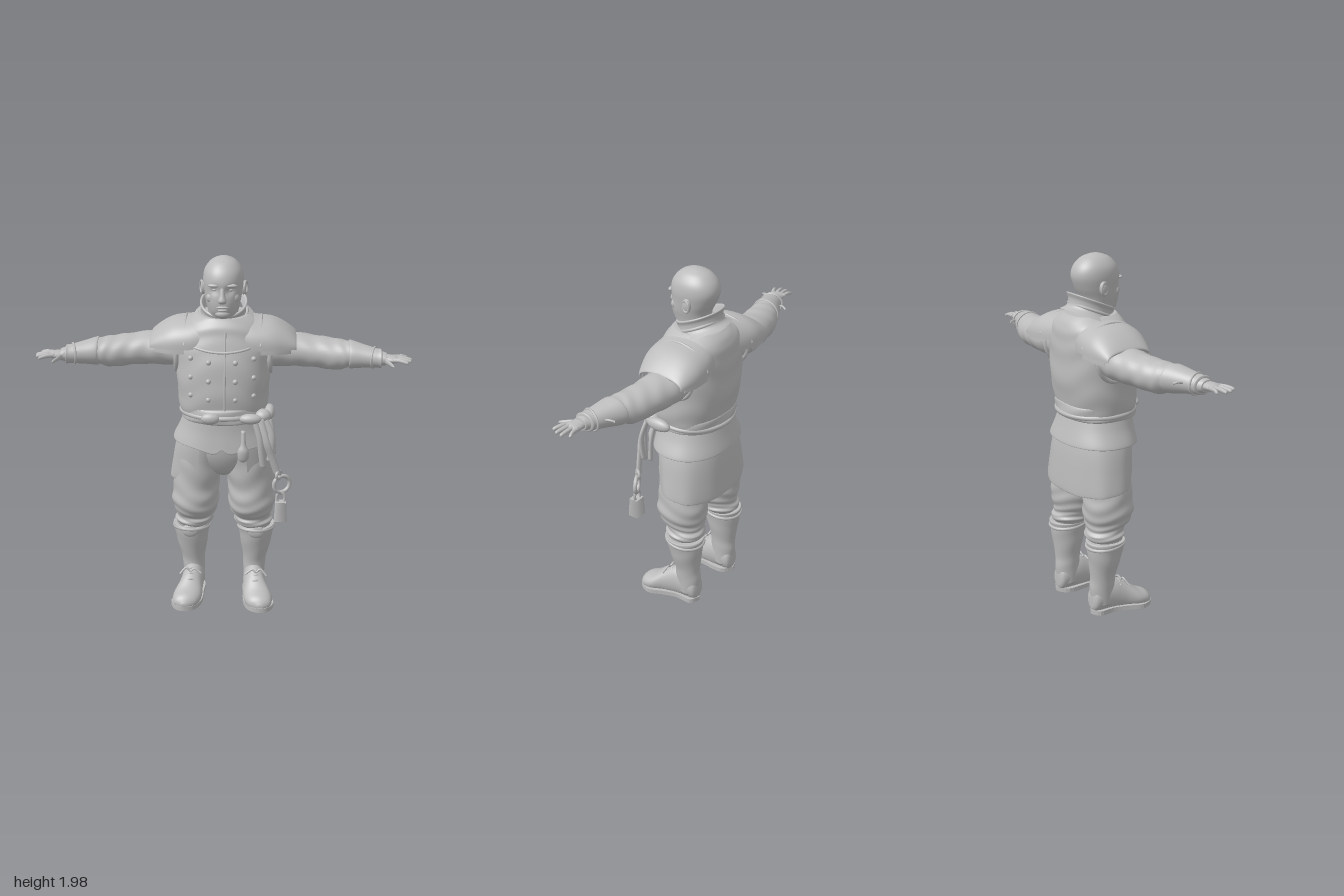
import * as THREE from 'three';

const grey = new THREE.MeshStandardMaterial({ color: 0xbcbcbc, side: THREE.DoubleSide });
grey.name = 'plain grey';

const catmull = (a, b, c, d, t) =>
  0.5 * (2 * b + (c - a) * t + (2 * a - 5 * b + 4 * c - d) * t * t + (3 * b - a - 3 * c + d) * t * t * t);

// Smooth skin through elliptical cross-sections [x, y, z, radiusU, radiusV] stacked along one axis
function loft(rows, { axis = 'y', n = 36, k = 6, p = 2, arc = null, swell = null, post = null, caps = true } = {}) {
  const pos = [], idx = [], all = [];
  const at = i => rows[Math.min(rows.length - 1, Math.max(0, i))];
  for (let i = 0; i < rows.length - 1; i++)
    for (let j = 0; j < k; j++)
      all.push(rows[0].map((_, c) => catmull(at(i - 1)[c], at(i)[c], at(i + 1)[c], at(i + 2)[c], j / k)));
  all.push(rows[rows.length - 1]);
  const [a0, a1] = arc || [0, Math.PI * 2], ring = arc ? n + 1 : n;
  const se = v => Math.sign(v) * Math.pow(Math.abs(v), 2 / p);
  const push = (x, y, z, t) => {
    const v = new THREE.Vector3(x, y, z);
    if (post) post(v, t);
    pos.push(v.x, v.y, v.z);
  };
  all.forEach(([x, y, z, a, b], r) => {
    const t = r / (all.length - 1);
    for (let i = 0; i < ring; i++) {
      const th = a0 + (a1 - a0) * i / n, s = swell ? swell(t, th) : 1;
      const u = Math.max(a, 0) * se(Math.cos(th)) * s, v = Math.max(b, 0) * se(Math.sin(th)) * s;
      if (axis === 'y') push(x + u, y, z + v, t);
      else if (axis === 'x') push(x, y + u, z + v, t);
      else push(x + u, y + v, z, t);
    }
  });
  const c = { x: 0, y: 1, z: 2 }[axis];
  const flip = (rows[rows.length - 1][c] - rows[0][c]) * (axis === 'y' ? -1 : 1) < 0;
  const tri = (a, b, d) => flip ? idx.push(a, d, b) : idx.push(a, b, d);
  for (let r = 0; r < all.length - 1; r++)
    for (let i = 0; i < n; i++) {
      const j = (i + 1) % ring, lo = r * ring, hi = lo + ring;
      tri(lo + i, lo + j, hi + i);
      tri(lo + j, hi + j, hi + i);
    }
  if (caps && !arc) {
    const last = (all.length - 1) * ring, base = pos.length / 3;
    push(...all[0].slice(0, 3), 0);
    push(...all[all.length - 1].slice(0, 3), 1);
    for (let i = 0; i < n; i++) {
      const j = (i + 1) % n;
      tri(base, j, i);
      tri(base + 1, last + i, last + j);
    }
  }
  const g = new THREE.BufferGeometry();
  g.setAttribute('position', new THREE.Float32BufferAttribute(pos, 3));
  g.setIndex(idx);
  g.computeVertexNormals();
  return g;
}

const ball = (x, y, z, a, b, c) => new THREE.SphereGeometry(1, 18, 12).scale(a, b, c).translate(x, y, z);
const cord = (pts, r) => new THREE.TubeGeometry(
  new THREE.CatmullRomCurve3(pts.map(q => new THREE.Vector3(...q))), 20, r, 8);

function mirrored(g) {
  const m = g.clone().scale(-1, 1, 1), i = m.index.array;
  for (let t = 0; t < i.length; t += 3) [i[t], i[t + 1]] = [i[t + 1], i[t]];
  return m;
}

export function createModel() {
  const model = new THREE.Group();
  const add = (name, g) => {
    const m = new THREE.Mesh(g, grey);
    m.name = name;
    model.add(m);
  };
  const pair = (name, g) => { add('left ' + name, g); add('right ' + name, mirrored(g)); };
  const bump = (x, y, cx, cy, r) => Math.exp(-((x - cx) ** 2 + (y - cy) ** 2) / (r * r));

  // Head with eye hollows
  add('head', loft([[0, 1.62, -.02, .085, .085], [0, 1.68, .015, .08, .09], [0, 1.71, .02, .083, .103], [0, 1.75, .02, .092, .11],
    [0, 1.8, .007, .1, .123], [0, 1.86, -.002, .106, .134], [0, 1.91, -.004, .097, .12], [0, 1.95, -.004, .067, .083],
    [0, 1.97, -.004, .03, .037], [0, 1.975, -.004, .002, .002]], {
    n: 48, p: 2.15,
    post: v => { if (v.z > .04) v.z -= .016 * bump(Math.abs(v.x), v.y, .04, 1.82, .022); }
  }));
  add('nose', loft([[0, 1.842, .118, .011, .012], [0, 1.8, .128, .014, .018], [0, 1.768, .131, .023, .025], [0, 1.752, .122, .014, .012]], { n: 16 }));
  add('upper lip', ball(0, 1.733, .122, .033, .008, .012));
  add('lower lip', ball(0, 1.718, .121, .026, .007, .012));
  add('chin', ball(0, 1.694, .1, .04, .024, .026));
  pair('brow', ball(.04, 1.846, .114, .036, .01, .016).rotateZ(0));
  pair('eye', ball(.04, 1.822, .101, .015, .009, .012));
  pair('cheek', ball(.056, 1.775, .083, .03, .03, .024));
  pair('ear', ball(.105, 1.805, -.02, .015, .038, .026));
  pair('ear rim', new THREE.TorusGeometry(.024, .006, 8, 20).scale(1, 1.3, 1).rotateY(Math.PI / 2 - .3).translate(.116, 1.805, -.022));

  // Tilted standing collar
  const tilt = v => { v.y -= .42 * (v.z + .03); };
  add('collar', loft([[0, 1.63, -.035, .165, .155], [0, 1.66, -.03, .125, .128], [0, 1.7, -.03, .118, .12], [0, 1.725, -.03, .126, .127],
    [0, 1.728, -.03, .114, .115], [0, 1.69, -.03, .1, .1]], { caps: false, post: tilt }));
  add('collar seam', new THREE.TorusGeometry(.125, .008, 8, 40).rotateX(Math.PI / 2 + .4).translate(0, 1.675, -.03));

  // Padded coat body
  const coat = [[0, 1.1, 0, .21, .175], [0, 1.17, 0, .236, .19], [0, 1.3, -.01, .248, .208], [0, 1.45, -.02, .254, .2],
    [0, 1.55, -.034, .25, .183], [0, 1.62, -.036, .205, .165], [0, 1.665, -.03, .13, .13]];
  add('coat', loft(coat, { n: 56, k: 8, p: 2.3, swell: (t, th) => 1 + .008 * Math.sin(t * 34 + 2 * Math.sin(th * 3)) }));
  const chestZ = (x, y) => {
    const i = Math.max(1, coat.findIndex(r => r[1] >= y)), lo = coat[i - 1], hi = coat[i], f = (y - lo[1]) / (hi[1] - lo[1]);
    const m = c => lo[c] + (hi[c] - lo[c]) * f;
    return m(2) + m(4) * Math.pow(1 - Math.pow(Math.abs(x) / m(3), 2.3), 1 / 2.3);
  };
  [1.24, 1.34, 1.44].forEach((y, r) => [.07, .165].forEach(x =>
    pair('coat stud ' + r, ball(x, y + x * .15, chestZ(x, y), .014, .014, .012))));
  add('coat front seam', cord([1.18, 1.3, 1.42, 1.54, 1.6].map(y => [.015, y, chestZ(0, y) - .001]), .006));
  const yoke = [-.2, -.13, -.06, 0, .06, .13, .2].map(x => [x, 1.5 + x * x * .9, chestZ(x, 1.5 + x * x * .9)]);
  add('yoke seam', cord(yoke, .007));
  pair('armhole trim', new THREE.TorusGeometry(.115, .014, 8, 32).rotateY(Math.PI / 2).translate(.248, 1.46, -.04));

  // Shoulder guards in overlapping layers
  const over = { axis: 'x', n: 28, arc: [-1.62, 1.62], p: 2.3 };
  pair('shoulder guard', loft([[.09, 1.52, -.035, .148, .165], [.17, 1.515, -.04, .133, .178], [.26, 1.51, -.048, .123, .176],
    [.33, 1.505, -.055, .092, .158], [.385, 1.5, -.06, .05, .135], [.378, 1.495, -.06, .04, .125]], over));
  pair('shoulder guard lining', loft([[.2, 1.49, -.045, .13, .176], [.28, 1.485, -.05, .115, .168], [.355, 1.48, -.06, .085, .136],
    [.35, 1.48, -.06, .075, .126]], over));
  pair('shoulder guard fold', cord([[.2, 1.53, .135], [.2, 1.605, .085], [.2, 1.644, -.04], [.2, 1.605, -.17], [.2, 1.53, -.22]], .007));

  // Sleeves, bracers and hands
  pair('sleeve', loft([[.2, 1.465, -.04, .1, .11], [.34, 1.463, -.06, .093, .112], [.48, 1.455, -.046, .085, .102],
    [.6, 1.447, -.02, .083, .095], [.68, 1.455, .005, .066, .076], [.8, 1.45, .045, .043, .052], [.86, 1.45, .062, .032, .04]],
    { axis: 'x', k: 10, swell: (t, th) => 1 + .018 * Math.sin(t * 48 + 2 * Math.sin(th * 2 + 1)) }));
  pair('bracer', loft([[.665, 1.455, 0, .066, .076], [.672, 1.455, .002, .075, .086], [.74, 1.453, .025, .062, .07],
    [.81, 1.45, .048, .05, .057], [.83, 1.45, .055, .05, .056], [.835, 1.45, .056, .038, .042]], { axis: 'x' }));
  pair('bracer band', new THREE.TorusGeometry(1, .1, 8, 28).scale(.062, .054, .06).rotateY(Math.PI / 2 - .3).translate(.795, 1.451, .043));
  pair('bracer tie', cord([[.77, 1.46, -.02], [.765, 1.465, -.05], [.755, 1.46, -.072]], .006));
  const hand = (name, g) => pair(name, g.rotateY(-.17).translate(.845, 1.452, .06));
  hand('palm', loft([[-.01, 0, 0, .026, .032], [.025, 0, .003, .022, .04], [.06, 0, .002, .018, .043], [.078, 0, 0, .01, .038]], { axis: 'x', n: 20 }));
  [[-.033, .122, -.052], [-.011, .147, -.016], [.012, .148, .018], [.033, .136, .052]].forEach(([z, x, tip], i) =>
    hand('finger ' + (i + 1), loft([[.05, .002, z, .011, .011], [.09, .004, (z + tip) / 2, .011, .011], [x - .008, -.002, tip, .009, .009],
      [x, -.004, tip, .002, .002]], { axis: 'x', n: 10 })));
  hand('thumb', loft([[.01, -.004, .025, .016, .014], [.035, -.008, .058, .013, .014], [.057, -.012, .088, .009, .011], [.066, -.013, .098, .002, .003]], { axis: 'x', n: 12 }));

  // Sash with knot and bow
  const folds = (t, th) => 1 + .012 * Math.sin(th * 5 + t * 9);
  add('sash', loft([[0, 1.105, 0, .212, .185], [0, 1.115, 0, .226, .2], [0, 1.15, 0, .228, .204], [0, 1.185, 0, .23, .2], [0, 1.195, 0, .22, .185]], { n: 56, p: 2.2, swell: folds }));
  add('sash fold', new THREE.TorusGeometry(1, .05, 8, 56).scale(.228, .205, .26).rotateX(Math.PI / 2 - .04).translate(0, 1.14, 0));
  add('sash front knot', ball(-.06, 1.15, .205, .05, .03, .024));
  add('sash side knot', ball(.215, 1.145, .125, .045, .036, .045));
  add('sash bow', ball(.25, 1.145, .06, .03, .036, .075));
  add('sash small bow', ball(.15, 1.145, .185, .06, .028, .03));

  // Short upper skirt with a split front point
  add('upper skirt', loft([[0, 1.13, 0, .212, .18], [0, 1.06, -.008, .235, .19], [0, .99, -.014, .268, .204], [0, .972, -.014, .272, .206], [0, .975, -.014, .26, .195]], {
    n: 72, p: 2.2, caps: false,
    post: (v, t) => { if (v.z > 0) v.y -= t * (.05 * bump(v.x, 0, 0, 0, .12) - .045 * bump(v.x, 0, 0, 0, .025)); }
  }));

  // Long lower skirt, open at the front
  add('lower skirt', loft([[0, 1.08, -.01, .215, .175], [0, .95, -.024, .258, .184], [0, .83, -.038, .28, .18], [0, .735, -.048, .294, .174], [0, .738, -.048, .284, .164]], {
    n: 64, p: 2.2, arc: [Math.PI / 2 + .46, Math.PI * 2.5 - .46], swell: (t, th) => 1 + .012 * t * Math.sin(th * 9),
    post: (v, t) => { v.y += t * .17 * Math.min(0, v.z); }
  }));

  // Baggy trousers
  add('trouser seat', loft([[0, 1.05, -.01, .19, .16], [0, .9, -.02, .2, .155], [0, .8, -.03, .13, .12], [0, .76, -.03, .05, .07]], {}));
  pair('trouser leg', loft([[.11, 1, -.01, .11, .14], [.13, .85, -.02, .13, .142], [.15, .7, -.026, .126, .138], [.157, .6, -.025, .13, .144],
    [.155, .535, -.03, .116, .128], [.16, .495, -.05, .1, .104], [.166, .465, -.055, .108, .112], [.172, .435, -.056, .09, .095]],
    { k: 10, swell: (t, th) => 1 + .022 * Math.sin(t * 44 + 2.2 * Math.sin(th * 2 + .6)) }));

  // Boots
  pair('boot shaft', loft([[.17, .05, -.08, .058, .062], [.172, .15, -.076, .062, .073], [.175, .22, -.073, .066, .073], [.18, .32, -.066, .086, .092],
    [.182, .4, -.061, .098, .106], [.183, .432, -.06, .103, .11], [.183, .434, -.06, .09, .096]], { swell: (t, th) => 1 + .008 * Math.sin(t * 30 + th * 2) }));
  pair('boot cuff', new THREE.TorusGeometry(1, .09, 8, 36).scale(.099, .107, .11).rotateX(Math.PI / 2 - .12).translate(.182, .412, -.06));
  pair('knee flap', ball(.185, .415, .035, .045, .04, .016));
  pair('boot foot', loft([[.17, .07, -.147, .025, .035], [.17, .085, -.125, .053, .075], [.172, .095, -.03, .06, .097], [.182, .075, .05, .066, .085],
    [.198, .05, .125, .08, .056], [.208, .038, .185, .062, .04], [.212, .032, .212, .015, .012]],
    { axis: 'z', post: v => { v.y = Math.max(v.y, .02); } }));
  const sole = new THREE.Shape();
  sole.setFromPoints(new THREE.SplineCurve([[.17, -.15], [.225, -.12], [.228, -.03], [.255, .05], [.288, .13], [.262, .195], [.21, .216],
    [.152, .19], [.118, .12], [.112, .02], [.112, -.1], [.17, -.15]].map(q => new THREE.Vector2(...q))).getPoints(44));
  const soleGeo = new THREE.ExtrudeGeometry(sole, { depth: .026, bevelEnabled: false }).rotateX(Math.PI / 2).translate(0, .026, 0);
  add('left boot sole', soleGeo);
  const soleIdx = soleGeo.clone();
  soleIdx.setIndex([...Array(soleGeo.attributes.position.count).keys()]);
  add('right boot sole', mirrored(soleIdx));
  [[.165, .015], [.148, .045], [.128, .075]].forEach(([y, z], i) =>
    pair('boot lace ' + i, cord([[.145, y - .018, z], [.185, y + .007, z + .01], [.222, y - .018, z]], .006)));
  pair('lace bow', cord([[.125, .155, .05], [.165, .178, .04], [.185, .165, .045], [.21, .182, .04], [.245, .15, .055]], .006));

  // Hanging straps, pouch, ring and padlock
  const strap = (name, pts, w) => add(name, loft(pts.map(q => [...q, w, .011]), { n: 14 }));
  strap('long strap', [[.2, 1.14, .165], [.235, 1.02, .19], [.265, .93, .18], [.3, .82, .165]], .02);
  strap('second strap', [[.225, 1.14, .15], [.262, 1.05, .165], [.262, .96, .165], [.255, .9, .16]], .018);
  strap('short strap', [[.17, 1.14, .185], [.2, 1.04, .195], [.21, .95, .19], [.22, .87, .18]], .016);
  strap('side strap', [[.252, 1.12, .09], [.268, 1.03, .1], [.275, .92, .1]], .014);
  add('pouch', loft([[.115, 1.08, .195, .012, .012], [.115, 1.01, .205, .014, .014], [.115, .97, .205, .03, .024], [.115, .925, .2, .028, .022], [.115, .905, .2, .008, .008]], { n: 18 }));
  add('key ring', new THREE.TorusGeometry(.047, .011, 10, 36).rotateY(.45).translate(.322, .765, .16));
  add('ring loop', new THREE.TorusGeometry(.022, .009, 8, 20).rotateY(1).translate(.305, .82, .165));
  add('padlock shackle', new THREE.TorusGeometry(.022, .008, 8, 20).scale(1, 1.5, 1).translate(.318, .685, .165));
  add('padlock', new THREE.CylinderGeometry(.042, .05, .11, 4, 1).rotateY(Math.PI / 4).scale(1, 1, .85).translate(.318, .612, .17));
  return model;
}
